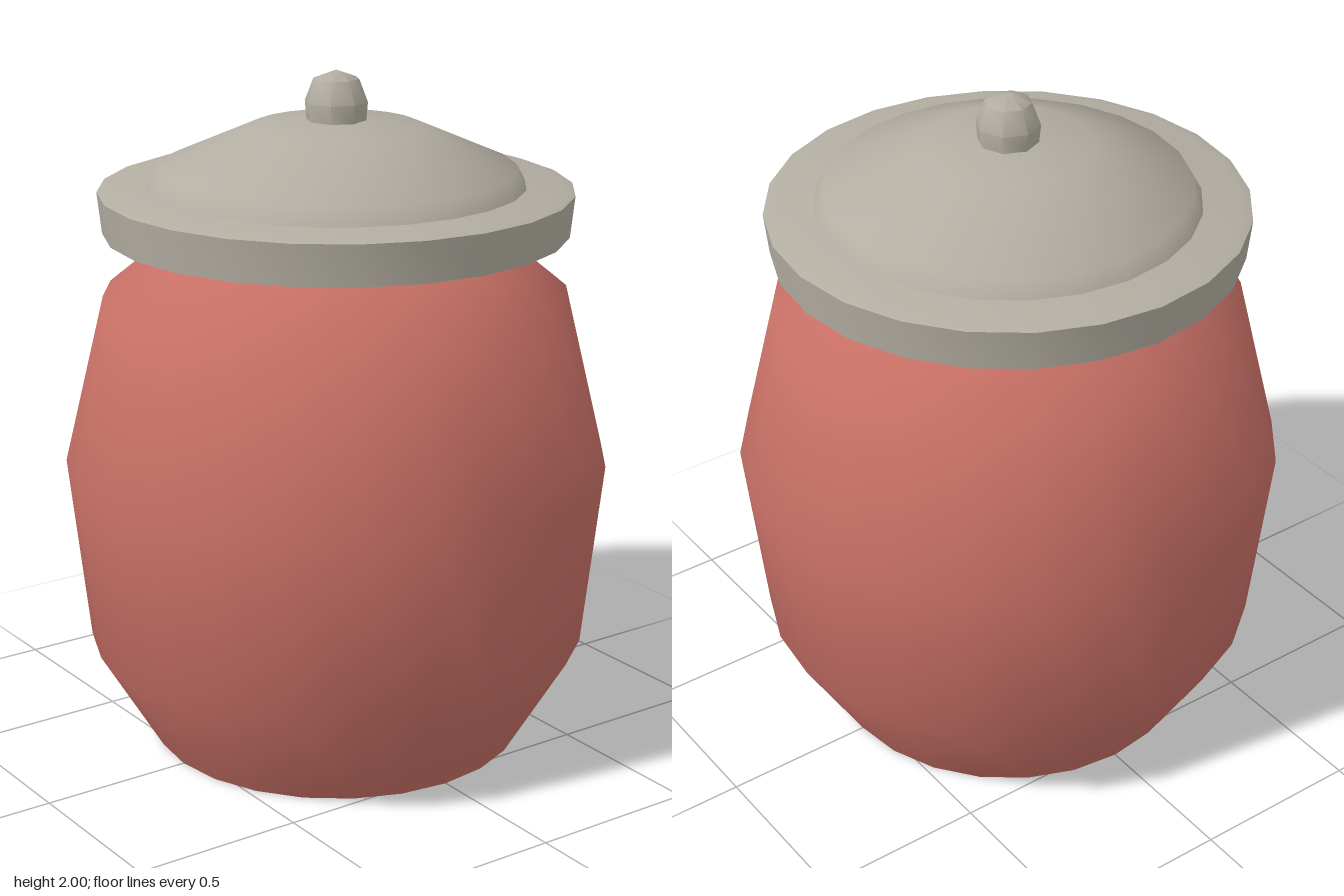
import * as THREE from 'three';
import { toCreasedNormals } from 'three/addons/utils/BufferGeometryUtils.js';

// Turns a profile (bottom to top) around the y axis, keeping sharp corners crisp.
function turned(name, profile, segments, material) {
  const points = profile.map(([r, y]) => new THREE.Vector2(r, y));
  const geometry = toCreasedNormals(new THREE.LatheGeometry(points, segments), THREE.MathUtils.degToRad(50));
  const mesh = new THREE.Mesh(geometry, material);
  mesh.name = name;
  return mesh;
}

export function createModel() {
  const clay = new THREE.MeshStandardMaterial({ color: 0xc87066 });
  clay.name = 'red clay';
  const stone = new THREE.MeshStandardMaterial({ color: 0xb3aea2 });
  stone.name = 'grey stoneware';

  const jar = new THREE.Group();
  jar.name = 'jar';

  // Round-bellied body, its neck tucked under the lid
  jar.add(turned('body', [
    [0, 0], [0.55, 0], [0.735, 0.31], [0.795, 0.86], [0.675, 1.355], [0.45, 1.54], [0, 1.545],
  ], 24, clay));

  const lid = new THREE.Group();
  lid.name = 'lid';

  // Flat rim with a slight bevel on its top edge
  lid.add(turned('lidRim', [
    [0, 1.54], [0.672, 1.54], [0.685, 1.66], [0.65, 1.672], [0, 1.672],
  ], 24, stone));

  // Shallow dome
  lid.add(turned('lidDome', [
    [0.548, 1.668], [0.52, 1.72], [0.24, 1.843], [0, 1.865],
  ], 24, stone));

  // Knob: short stem running into a rounded top
  lid.add(turned('knob', [
    [0.086, 1.855], [0.091, 1.91], [0.066, 1.975], [0, 2],
  ], 8, stone));

  jar.add(lid);
  return jar;
}
